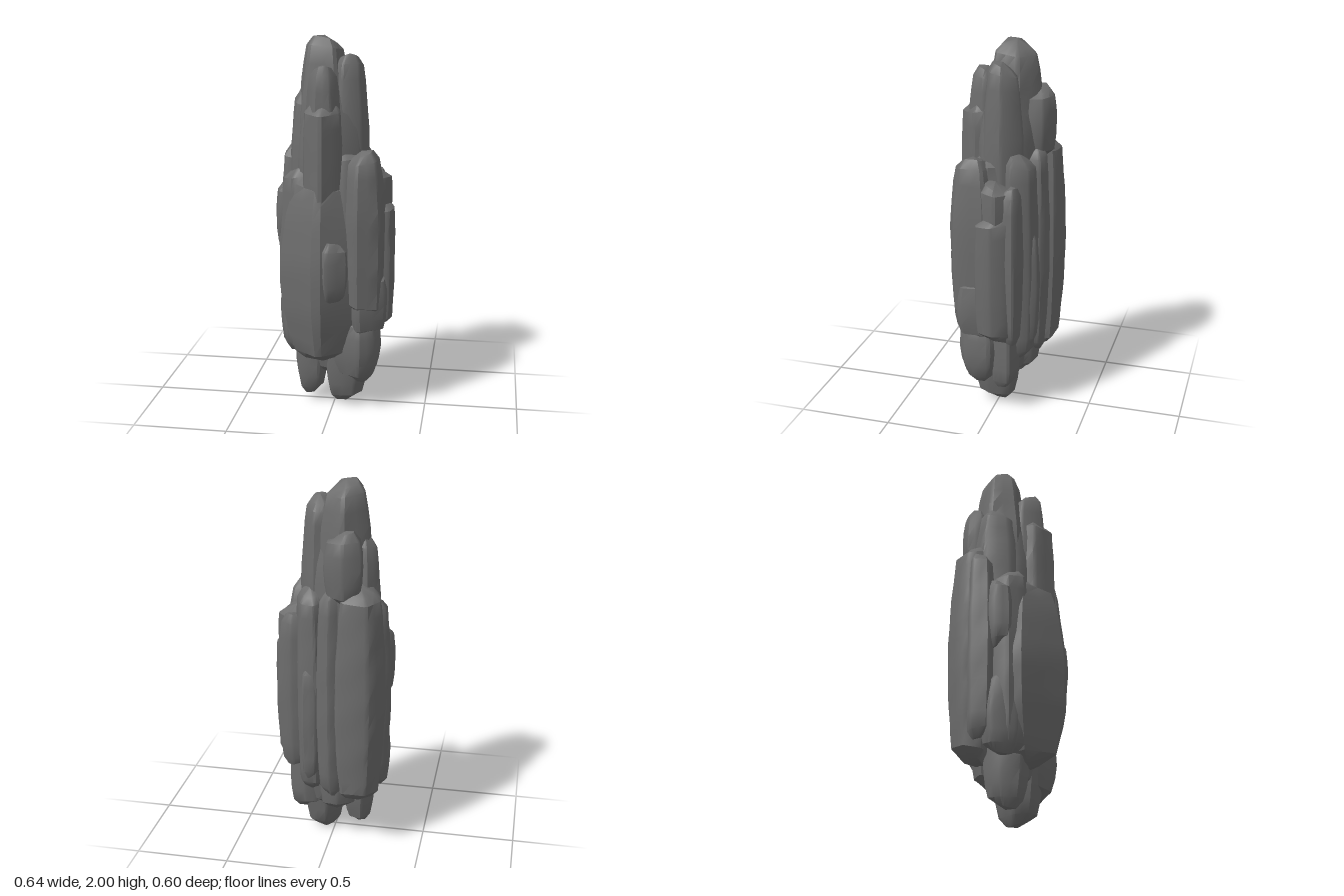
import * as THREE from 'three';
import { toCreasedNormals } from 'three/addons/utils/BufferGeometryUtils.js';

const { clamp, lerp, degToRad } = THREE.MathUtils;

// Uneven outline with its first corner at the given turn, bevelled corners,
// and filling the range -1..1 both ways.
function footprint(sides, turn, seed) {
  const corners = [];
  for (let i = 0; i < sides; i++) {
    const angle = turn + i * 2 * Math.PI / sides + 0.12 * Math.sin(seed * 2.1 + i * 2.7);
    const r = 1 + 0.07 * Math.sin(seed * 3.7 + i * 1.9);
    corners.push(new THREE.Vector2(r * Math.cos(angle), r * Math.sin(angle)));
  }
  const outline = corners.flatMap((p, i) => {
    const prev = corners[(i + sides - 1) % sides], next = corners[(i + 1) % sides];
    return [p.clone().lerp(prev, 0.1), p.clone().lerp(next, 0.1), p.clone().lerp(next, 0.5)];
  });
  const box = new THREE.Box2().setFromPoints(outline);
  const centre = box.getCenter(new THREE.Vector2());
  const half = box.getSize(new THREE.Vector2()).multiplyScalar(0.5);
  return outline.map(p => p.sub(centre).divide(half));
}

// Worn upright stone filling the given x, z and y ranges.
// taper is how much the bottom and the top narrow.
function stoneGeometry([x0, x1], [z0, z1], [y0, y1], [taperLow, taperHigh], outline, seed) {
  const cx = (x0 + x1) / 2, cz = (z0 + z1) / 2, height = y1 - y0;
  const n = outline.length;

  // ring heights: a bevel at each end and even steps between
  const bevel = Math.min(0.045, height * 0.2);
  const steps = Math.ceil(height / 0.1);
  const levels = [y0];
  for (let i = 0; i <= steps; i++) levels.push(lerp(y0 + bevel, y1 - bevel, i / steps));
  levels.push(y1);

  const pos = [], index = [];
  levels.forEach((y, r) => {
    const low = clamp(1 - (y - y0) / (height * 0.45), 0, 1);
    const high = clamp(1 - (y1 - y) / (height * 0.45), 0, 1);
    const isEnd = r === 0 || r === levels.length - 1;
    const scale = (1 - taperLow * low ** 1.6) * (1 - taperHigh * high ** 1.6) * (isEnd ? 0.7 : 1);
    outline.forEach((p, i) => {
      // shallow dents, and sloping ends
      const dent = 1 - 0.03 * (1 + Math.sin(p.x * 3 + y * 9 + seed * 1.7) * Math.sin(p.y * 3 - y * 14 + seed));
      const slope = 0.5 * bevel * (1 + Math.sin(seed * 2.3 + i * 2 * Math.PI / n));
      pos.push(
        cx + p.x * scale * dent * (x1 - x0) / 2,
        y + slope * (low ** 4 - high ** 4),
        cz + p.y * scale * dent * (z1 - z0) / 2);
    });
  });
  for (let r = 0; r < levels.length - 1; r++) {
    for (let i = 0; i < n; i++) {
      const a = r * n + i, b = r * n + (i + 1) % n;
      index.push(a, a + n, b, b, a + n, b + n);
    }
  }
  // end caps
  const bottom = pos.length / 3, last = (levels.length - 1) * n;
  pos.push(cx, y0, cz, cx, y1, cz);
  for (let i = 0; i < n; i++) {
    const j = (i + 1) % n;
    index.push(bottom, i, j, bottom + 1, last + j, last + i);
  }
  const geometry = new THREE.BufferGeometry();
  geometry.setAttribute('position', new THREE.Float32BufferAttribute(pos, 3));
  geometry.setIndex(index);
  return toCreasedNormals(geometry, 0.6);
}

export function createModel() {
  const group = new THREE.Group();
  group.name = 'rockSpire';
  const material = new THREE.MeshStandardMaterial({ color: 0x6c6c6c });

  // Without a given turn, a corner points away from the middle of the rock.
  const add = (name, x, z, y, taper = [0.25, 0.25], sides = 6, turn) => {
    const seed = group.children.length + 1;
    const angle = turn === undefined ? Math.atan2(z[0] + z[1], x[0] + x[1]) : degToRad(turn);
    const outline = footprint(sides, angle, seed);
    const mesh = new THREE.Mesh(stoneGeometry(x, z, y, taper, outline, seed), material);
    mesh.name = name;
    group.add(mesh);
  };

  // heart of the rock
  add('core', [-0.27, 0.26], [-0.23, 0.2], [0.16, 1.43], [0.45, 0.3]);
  add('upperCore', [-0.23, 0.16], [-0.2, 0.16], [0.9, 1.8], [0, 0.4]);

  // upper spires
  add('peak', [-0.22, 0.09], [-0.22, 0.1], [0.8, 2], [0, 0.4], 5, 270);
  add('rightPeak', [-0.03, 0.18], [-0.14, 0.1], [0.8, 1.91], [0, 0.35]);
  add('frontSpire', [-0.15, 0.05], [-0.02, 0.2], [1.1, 1.86], [0, 0.32]);
  add('frontColumn', [-0.15, 0.06], [0.02, 0.24], [0.7, 1.69], [0, 0.1], 5, 90);
  add('leftShoulder', [-0.26, -0.04], [-0.18, 0.09], [0.7, 1.72], [0, 0.35]);
  add('backSpire', [-0.18, 0.03], [-0.27, -0.08], [1.38, 1.77], [0.25, 0.25], 6, 270);

  // front face
  add('frontFace', [-0.29, 0.19], [-0.1, 0.3], [0.26, 1.3], [0.4, 0.4], 4, 90);
  add('frontLedge', [-0.09, 0.1], [0.1, 0.295], [0.62, 0.97], [0.3, 0.1], 5, 90);
  add('frontRightColumn', [0.03, 0.28], [-0.03, 0.25], [0.55, 1.43], [0.1, 0.35], 5, 106);
  add('frontRightBlock', [0.06, 0.3], [-0.04, 0.23], [0.42, 0.8], [0.25, 0.25], 5, 106);
  add('frontRightFoot', [0, 0.26], [-0.05, 0.2], [0.15, 0.54], [0.4, 0.2]);

  // left side
  add('leftSlab', [-0.3, -0.06], [-0.12, 0.14], [0.28, 1.33]);
  add('leftKnob', [-0.325, -0.17], [-0.1, 0.06], [0.84, 1.24]);
  add('leftFoot', [-0.31, -0.1], [-0.12, 0.09], [0.29, 0.72]);

  // back
  add('backLeftSlab', [-0.3, -0.02], [-0.302, -0.06], [0.27, 1.49], [0.25, 0.25], 6, 250);
  add('backLeftPlate', [-0.315, -0.1], [-0.23, -0.02], [0.36, 1.42], [0.2, 0.25], 6, 200);
  add('backColumn', [-0.1, 0.07], [-0.26, -0.07], [0.28, 1.48]);
  add('backRightColumn', [0.02, 0.2], [-0.22, -0.02], [0.28, 1.45], [0.2, 0.2]);
  add('backRightPlate', [0.02, 0.17], [-0.23, -0.09], [0.38, 1.04]);

  // right side
  add('rightSlab', [0.13, 0.325], [-0.13, 0.08], [0.43, 1.17], [0.15, 0.08]);
  add('rightCap', [0.1, 0.305], [-0.11, 0.07], [1.05, 1.32], [0, 0.08]);
  add('rightBackSlab', [0.1, 0.29], [-0.17, -0.03], [0.42, 1.3]);

  // underside
  add('rootTip', [-0.06, 0.19], [-0.12, 0.14], [0, 0.65], [0.35, 0]);
  add('rootRight', [0.04, 0.24], [-0.14, 0.03], [0.13, 0.6], [0.2, 0]);
  add('rootLeft', [-0.22, -0.04], [-0.12, 0.1], [0.04, 0.48], [0.35, 0]);
  add('rootBack', [-0.15, 0.09], [-0.21, -0.03], [0.17, 0.6]);

  return group;
}
